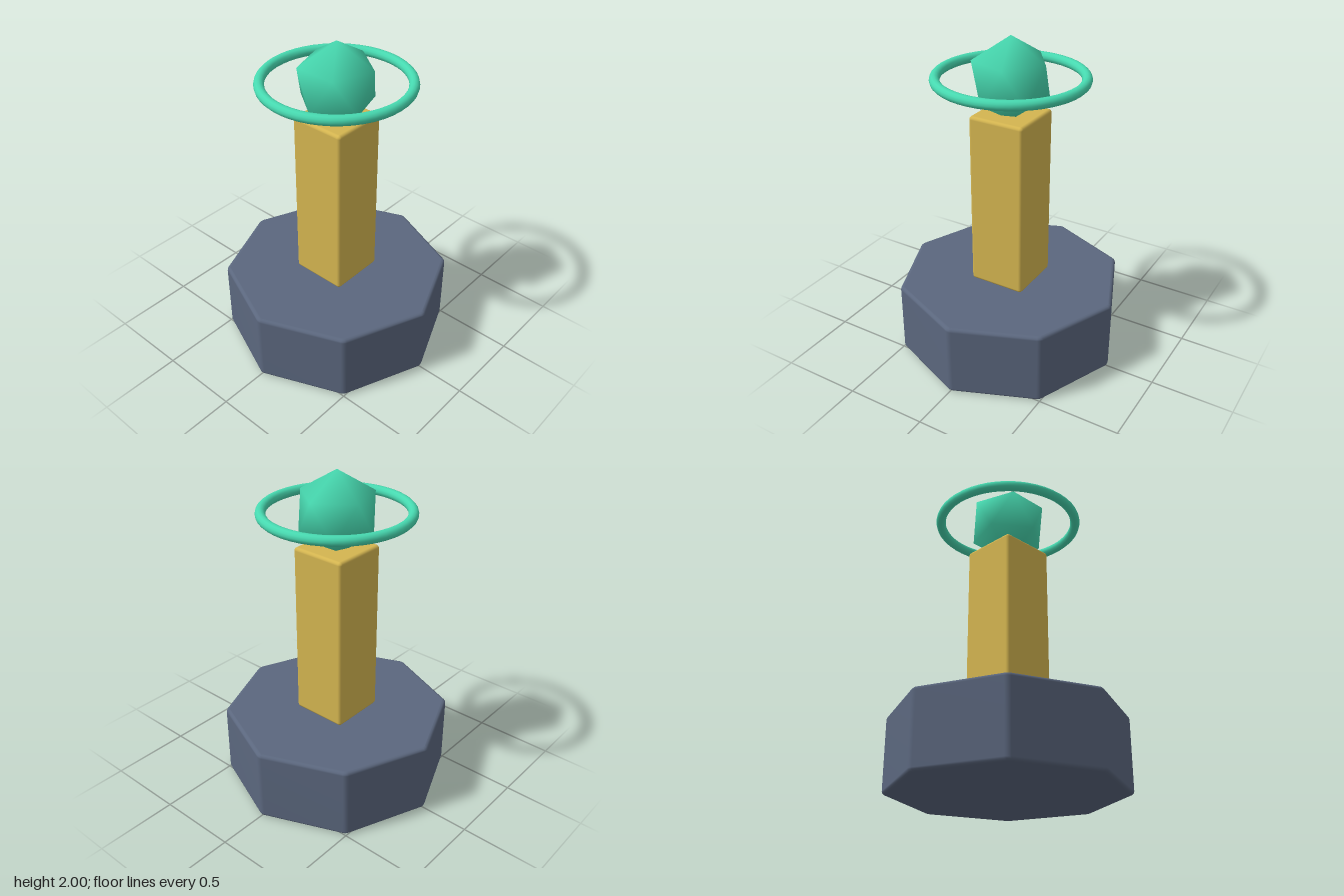
import * as THREE from 'three';
import { mergeVertices } from 'three/addons/utils/BufferGeometryUtils.js';
import { RoundedBoxGeometry } from 'three/addons/geometries/RoundedBoxGeometry.js';

// Weld all corners and recompute smooth normals
function smooth(geometry) {
  geometry.deleteAttribute('uv');
  geometry.deleteAttribute('normal');
  const welded = mergeVertices(geometry, 1e-4);
  welded.computeVertexNormals();
  return welded;
}

// Upright regular prism with softened edges, standing on y = 0
function bevelledPrism(sides, radius, height, bevel) {
  const corners = [];
  for (let i = 0; i < sides; i++) {
    const a = (i / sides) * Math.PI * 2;
    corners.push(new THREE.Vector2(Math.cos(a) * radius, Math.sin(a) * radius));
  }
  const towards = (a, b) => a.clone().add(b.clone().sub(a).setLength(bevel));
  const shape = new THREE.Shape();
  corners.forEach((c, i) => {
    const start = towards(c, corners[(i + sides - 1) % sides]);
    const end = towards(c, corners[(i + 1) % sides]);
    if (i === 0) shape.moveTo(start.x, start.y);
    else shape.lineTo(start.x, start.y);
    shape.quadraticCurveTo(c.x, c.y, end.x, end.y);
  });
  shape.closePath();
  const geometry = new THREE.ExtrudeGeometry(shape, {
    depth: height - 2 * bevel, bevelSize: bevel, bevelThickness: bevel,
    bevelOffset: -bevel, bevelSegments: 3, curveSegments: 3,
  });
  geometry.translate(0, 0, bevel);
  geometry.rotateX(-Math.PI / 2);
  return smooth(geometry);
}

export function createModel() {
  const slate = new THREE.MeshStandardMaterial({ name: 'slate', color: 0x5b677e });
  const gold = new THREE.MeshStandardMaterial({ name: 'gold', color: 0xd4b550 });
  const jade = new THREE.MeshStandardMaterial({ name: 'jade', color: 0x47d9b0 });

  const model = new THREE.Group();
  model.name = 'crystalPedestal';
  const add = (name, geometry, material, y) => {
    const mesh = new THREE.Mesh(geometry, material);
    mesh.name = name;
    mesh.position.y = y;
    model.add(mesh);
  };

  // Octagonal base with corners on the axes
  add('base', bevelledPrism(8, 0.703, 0.455, 0.02), slate, 0);

  // Square column
  add('column', new RoundedBoxGeometry(0.355, 1.09, 0.355, 3, 0.02), gold, 1.0);

  // Twenty-sided crystal, standing on one point and smooth shaded
  const crystal = new THREE.IcosahedronGeometry(0.25, 0);
  crystal.rotateZ(-Math.atan(2 / (1 + Math.sqrt(5))));
  add('crystal', smooth(crystal), jade, 1.75);

  // Floating ring around the crystal
  const ring = new THREE.TorusGeometry(0.43, 0.03, 12, 48);
  ring.rotateX(Math.PI / 2);
  add('ring', ring, jade, 1.755);

  return model;
}
